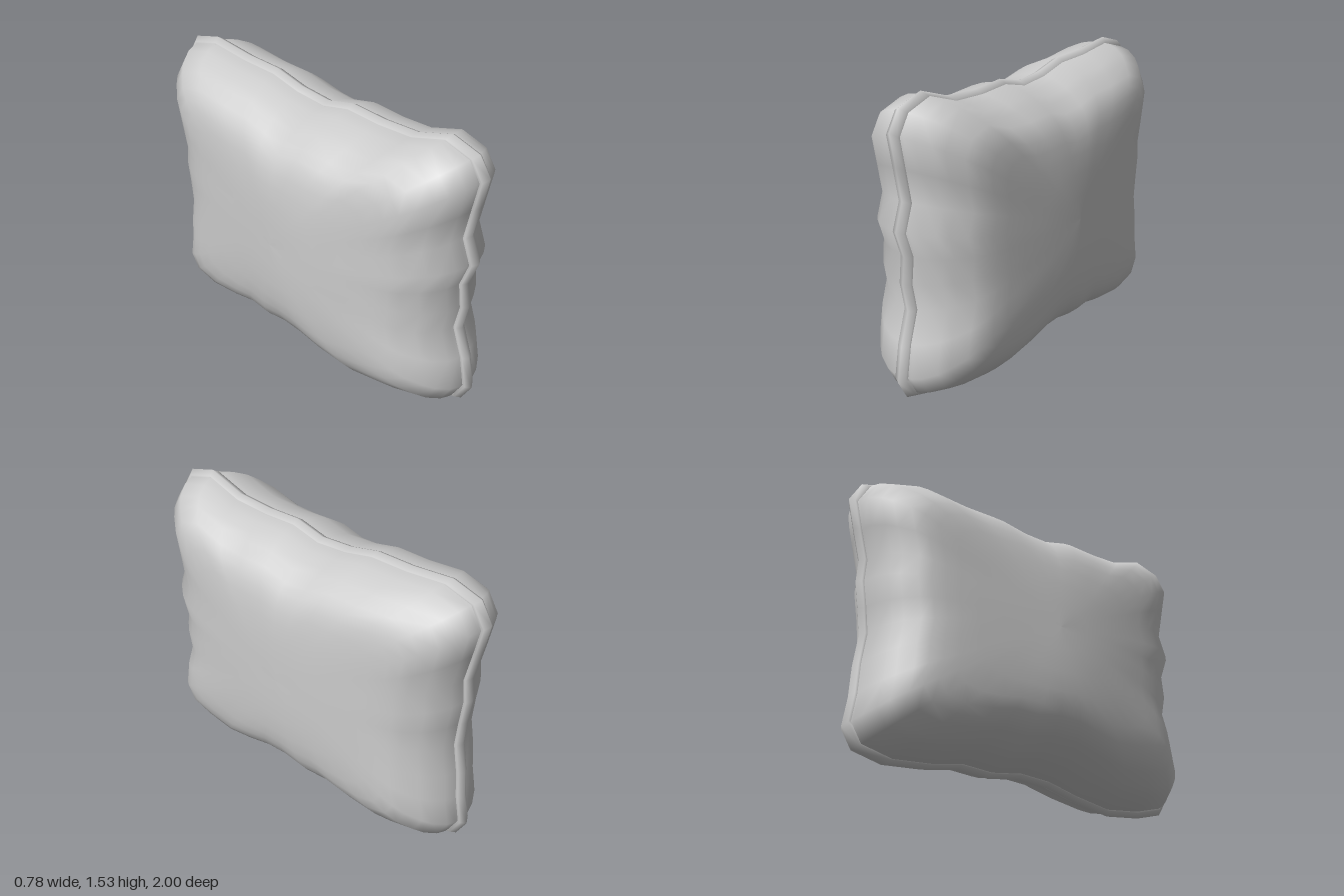
import * as THREE from 'three';

// Seam outline as [z, y], clockwise seen from +x
const outline = [
  [1, 1.385], [0.935, 1.485], [0.78, 1.53], [0.58, 1.465], [0.375, 1.455], [0.18, 1.465], [0.015, 1.425],
  [-0.165, 1.44], [-0.335, 1.48], [-0.545, 1.485], [-0.775, 1.51], [-0.935, 1.465], [-1, 1.355],
  [-0.965, 1.2], [-0.925, 1.035], [-0.935, 0.91], [-0.915, 0.77], [-0.9, 0.63], [-0.925, 0.465],
  [-0.935, 0.305], [-0.96, 0.155], [-0.9, 0.055], [-0.73, 0.015], [-0.51, 0.035], [-0.335, 0.07],
  [-0.16, 0.06], [0.02, 0.09], [0.195, 0.08], [0.375, 0.035], [0.58, 0], [0.785, 0.025],
  [0.94, 0.07], [1, 0.17], [0.97, 0.34], [0.915, 0.505], [0.945, 0.645], [0.93, 0.78],
  [0.98, 0.915], [0.93, 1.05], [0.965, 1.22],
];
const MID_Y = 0.765, HALF_Y = 0.75, SEAM_X = 0.025;

// Padding profile: [share of the way from outline to centre, half thickness]
const padding = [
  [0.03, 0], [0.035, 0.05], [0.05, 0.1], [0.09, 0.165], [0.13, 0.205], [0.2, 0.26], [0.26, 0.288],
  [0.33, 0.306], [0.42, 0.318], [0.55, 0.327], [0.7, 0.333], [0.85, 0.335], [1, 0.335],
];

// Skin a list of closed rings; flip turns the faces the other way
function loft(name, rings, { closed = false, flip = false } = {}) {
  const n = outline.length, index = [];
  const count = closed ? rings.length : rings.length - 1;
  for (let j = 0; j < count; j++) {
    const k = (j + 1) % rings.length;
    for (let i = 0; i < n; i++) {
      const a = j * n + i, b = j * n + (i + 1) % n, c = k * n + i, d = k * n + (i + 1) % n;
      if (flip) index.push(a, b, c, b, d, c);
      else index.push(a, c, b, b, c, d);
    }
  }
  const geometry = new THREE.BufferGeometry();
  geometry.setAttribute('position', new THREE.Float32BufferAttribute(rings.flat(2), 3));
  geometry.setIndex(index);
  geometry.computeVertexNormals();
  const mesh = new THREE.Mesh(geometry, new THREE.MeshStandardMaterial({ color: 0xcccccc }));
  mesh.name = name;
  return mesh;
}

// Outline point shrunk towards the centre; inner rings round off into ovals
function shrink([z, y], s) {
  const v = (y - MID_Y) / HALF_Y;
  const oval = 1.1 / Math.hypot(z, v);
  const k = (1 - s) * THREE.MathUtils.lerp(1, oval, THREE.MathUtils.smoothstep(s, 0.3, 0.8));
  return [z * k, MID_Y + v * HALF_Y * k];
}

// One padded half, with a soft bulge across the middle of its face
function cushionHalf(name, side, fullness, bulge, bulgeZ) {
  const rings = padding.map(([s, t]) => outline.map((p) => {
    const [z, y] = shrink(p, s);
    const swell = bulge * (t / 0.335) ** 3 * Math.exp(-(((z - bulgeZ) / 0.4) ** 2));
    return [SEAM_X + side * (t * fullness + swell), y, z];
  }));
  return loft(name, rings, { flip: side < 0 });
}

// Cord along the seam
function piping(radius, sides) {
  const rings = Array.from({ length: sides }, (_, j) => {
    const a = (j / sides) * Math.PI * 2;
    const d = radius * (1 - Math.cos(a));
    return outline.map(([z, y]) => [
      SEAM_X + radius * Math.sin(a),
      MID_Y + (y - MID_Y) * (1 - d / HALF_Y),
      z * (1 - d),
    ]);
  });
  return loft('piping', rings, { closed: true });
}

export function createModel() {
  const group = new THREE.Group();
  group.name = 'cushion';
  group.add(
    cushionHalf('leftPaddedHalf', 1, 1, 0.03, 0),
    cushionHalf('rightPaddedHalf', -1, 1.07, 0.055, 0.15),
    piping(0.038, 6),
  );
  return group;
}
